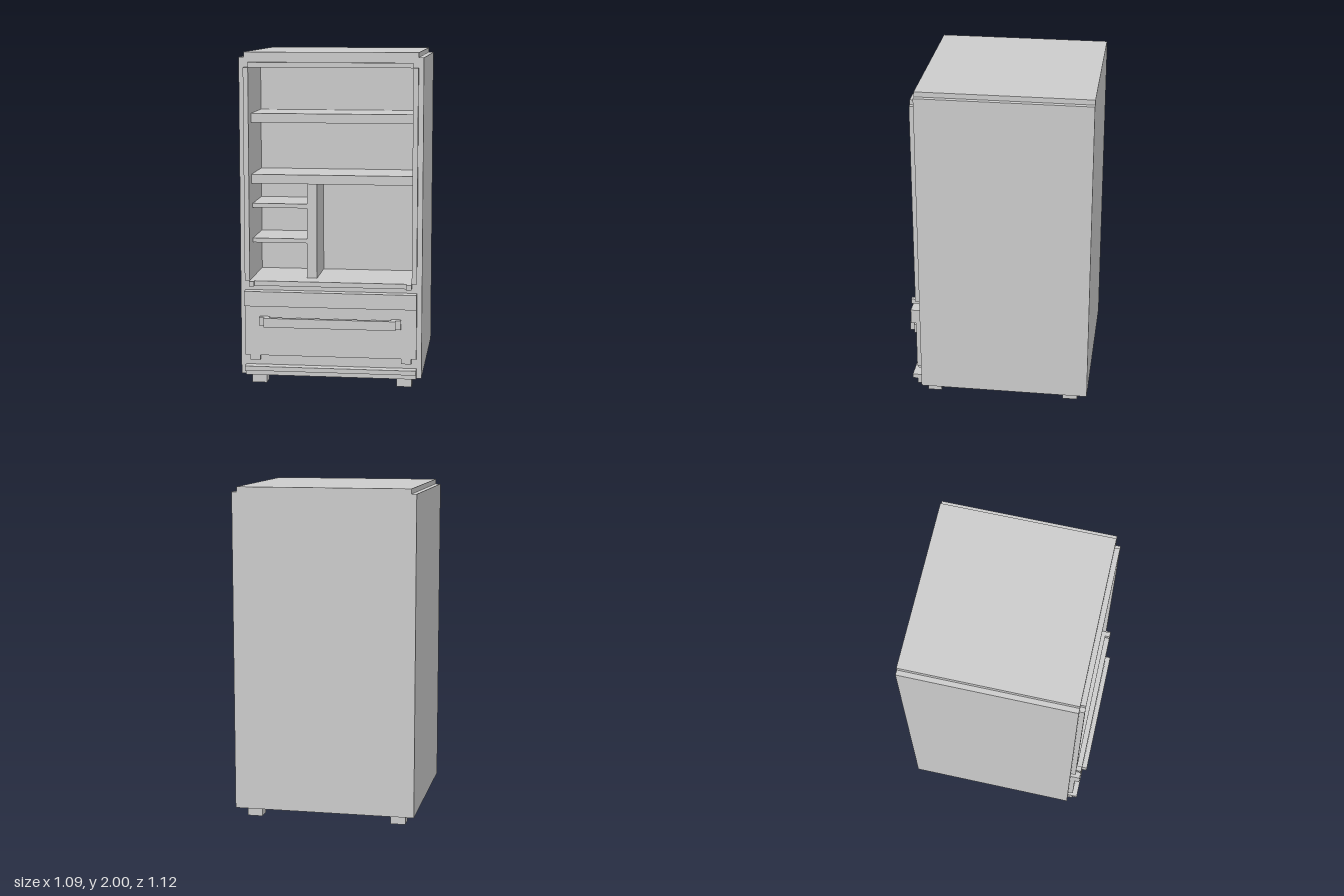
import * as THREE from 'three';

const material = new THREE.MeshStandardMaterial({ color: 0xcccccc, flatShading: true });

// Box given by its limits on each axis
function addBox(parent, name, [x0, x1], [y0, y1], [z0, z1]) {
  const mesh = new THREE.Mesh(new THREE.BoxGeometry(x1 - x0, y1 - y0, z1 - z0), material);
  mesh.position.set((x0 + x1) / 2, (y0 + y1) / 2, (z0 + z1) / 2);
  mesh.name = name;
  parent.add(mesh);
}

// The same box on both sides of x = 0
function addPair(parent, name, [x0, x1], y, z) {
  addBox(parent, name + 'Left', [x0, x1], y, z);
  addBox(parent, name + 'Right', [-x1, -x0], y, z);
}

// Cabinet outline with a narrower top slab
function cabinetOutline() {
  return new THREE.Shape([
    [-0.545, 0.063], [0.545, 0.063], [0.545, 1.97], [0.515, 1.97],
    [0.515, 2], [-0.515, 2], [-0.515, 1.97], [-0.545, 1.97],
  ].map(([x, y]) => new THREE.Vector2(x, y)));
}

function addExtrusion(parent, name, shape, z0, z1) {
  const geometry = new THREE.ExtrudeGeometry(shape, { depth: z1 - z0, bevelEnabled: false });
  const mesh = new THREE.Mesh(geometry, material);
  mesh.position.z = z0;
  mesh.name = name;
  parent.add(mesh);
}

export function createModel() {
  const fridge = new THREE.Group();
  fridge.name = 'refrigerator';
  const front = 0.47, back = -0.56, innerBack = 0.07;

  // Cabinet: solid rear and hollow front compartment
  addExtrusion(fridge, 'cabinetRear', cabinetOutline(), back, innerBack);
  const shell = cabinetOutline();
  shell.holes.push(new THREE.Path([
    [-0.485, 0.64], [-0.485, 1.91], [0.485, 1.91], [0.485, 0.64],
  ].map(([x, y]) => new THREE.Vector2(x, y))));
  addExtrusion(fridge, 'cabinetShell', shell, innerBack, front);

  // Raised trim around the opening
  const trim = new THREE.Group();
  trim.name = 'openingTrim';
  addBox(trim, 'topTrim', [-0.485, 0.485], [1.91, 1.94], [front, 0.5]);
  addBox(trim, 'bottomTrim', [-0.485, 0.485], [0.61, 0.64], [front, 0.5]);
  addPair(trim, 'sideTrim', [0.485, 0.515], [0.64, 1.91], [front, 0.5]);
  addPair(trim, 'hingeTab', [0.455, 0.485], [0.61, 0.64], [0.5, 0.53]);
  fridge.add(trim);

  // Shelves and divider
  const interior = new THREE.Group();
  interior.name = 'interior';
  for (const y of [1.215, 1.58]) {
    addBox(interior, 'wideShelf', [-0.485, 0.485], [y, y + 0.055], [innerBack, 0.41]);
  }
  addBox(interior, 'divider', [-0.155, -0.095], [0.64, 1.215], [innerBack, 0.38]);
  for (const y of [0.853, 1.065]) {
    addBox(interior, 'smallShelf', [-0.485, -0.155], [y, y + 0.026], [innerBack, 0.38]);
  }
  fridge.add(interior);

  // Bottom drawer with bar handle
  const drawer = new THREE.Group();
  drawer.name = 'drawer';
  addBox(drawer, 'drawerPanel', [-0.515, 0.515], [0.185, 0.49], [front, 0.5]);
  addBox(drawer, 'drawerLip', [-0.515, 0.515], [0.49, 0.58], [front, 0.53]);
  addPair(drawer, 'drawerTab', [0.425, 0.485], [0.155, 0.185], [front, 0.5]);
  addBox(drawer, 'handleBar', [-0.394, 0.394], [0.37, 0.425], [0.53, 0.56]);
  addPair(drawer, 'handlePost', [0.364, 0.424], [0.37, 0.425], [0.5, 0.53]);
  fridge.add(drawer);

  // Kick plate
  addBox(fridge, 'kickPlate', [-0.515, 0.515], [0.063, 0.095], [front, 0.5]);
  addBox(fridge, 'kickPlateLip', [-0.515, 0.515], [0.095, 0.122], [front, 0.53]);

  // Feet
  addPair(fridge, 'frontFoot', [0.395, 0.485], [0, 0.063], [0.355, 0.44]);
  addPair(fridge, 'backFoot', [0.395, 0.485], [0, 0.063], [-0.498, -0.408]);

  return fridge;
}
